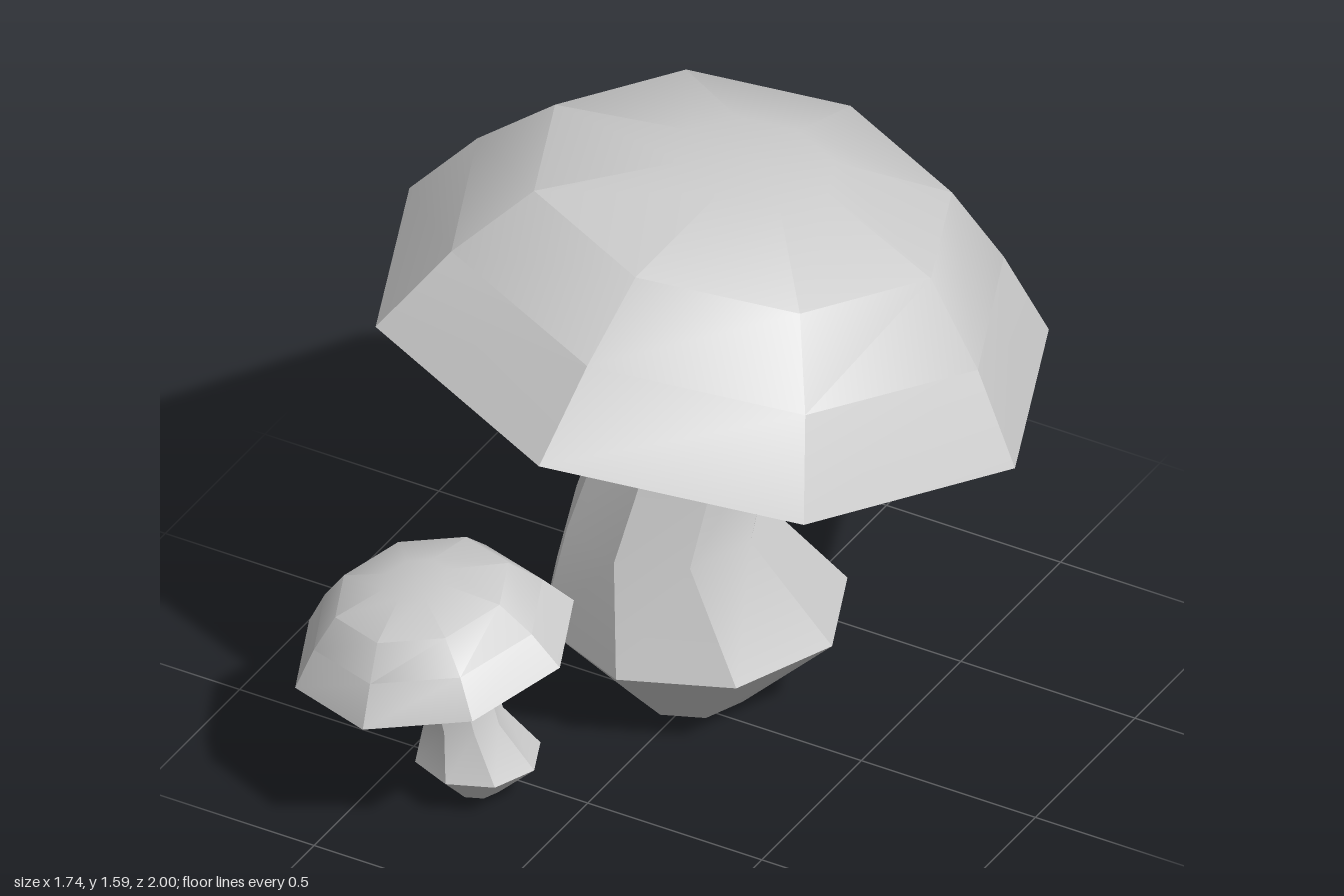
import * as THREE from 'three';
import { toCreasedNormals } from 'three/addons/utils/BufferGeometryUtils.js';

const SIDES = 8;
const TILT = [-0.144, 0.12]; // height change per unit of x and z on tilted rings

// Closed loft through octagonal rings, listed from bottom to top.
// Ring: [centre x, y, z, radius, tilt amount, x stretch]
function loft(rings) {
  const pos = [], idx = [];
  for (const [x, y, z, r, tilt = 0, sx = 1] of rings) {
    for (let i = 0; i < SIDES; i++) {
      const a = (i / SIDES) * Math.PI * 2;
      const dx = Math.sin(a) * r * sx, dz = Math.cos(a) * r;
      pos.push(x + dx, y + tilt * (TILT[0] * dx + TILT[1] * dz), z + dz);
    }
  }
  const last = (rings.length - 1) * SIDES, bottom = rings.length * SIDES, top = bottom + 1;
  pos.push(...rings[0].slice(0, 3), ...rings[rings.length - 1].slice(0, 3));
  for (let i = 0; i < SIDES; i++) {
    const j = (i + 1) % SIDES;
    for (let k = 0; k < last; k += SIDES) {
      idx.push(k + i, k + j, k + SIDES + j, k + i, k + SIDES + j, k + SIDES + i);
    }
    idx.push(bottom, j, i, top, last + i, last + j);
  }
  const geo = new THREE.BufferGeometry();
  geo.setAttribute('position', new THREE.Float32BufferAttribute(pos, 3));
  geo.setIndex(idx);
  return toCreasedNormals(geo, 0.62);
}

export function createModel() {
  const model = new THREE.Group();
  const material = new THREE.MeshStandardMaterial({ color: 0xcccccc });
  const part = (name, geo, parent) => {
    const mesh = new THREE.Mesh(geo, material);
    mesh.name = name;
    parent.add(mesh);
    return mesh;
  };

  // Tilted cap, relative to the centre of its rim
  const capGeo = loft([
    [0, -0.175, 0.01, 0.2, 1],
    [0, 0, 0, 0.87, 1],
    [0.03, 0.22, -0.025, 0.705, 1, 1.02],
    [0.06, 0.405, -0.05, 0.54, 1],
    [0.09, 0.49, -0.075, 0.2, 1],
  ]);

  // Large mushroom
  const large = new THREE.Group();
  large.name = 'largeMushroom';
  part('largeCap', capGeo, large).position.set(0, 1.065, -0.125);
  part('largeStem', loft([
    [-0.035, 0, -0.075, 0.15],
    [-0.035, 0.24, -0.098, 0.395],
    [-0.085, 0.53, -0.03, 0.25],
    [-0.01, 0.92, -0.11, 0.21, 1],
  ]), large);

  // Small mushroom: same cap, shrunk and turned around
  const small = new THREE.Group();
  small.name = 'smallMushroom';
  const smallCap = part('smallCap', capGeo, small);
  smallCap.position.set(-0.36, 0.443, 0.64);
  smallCap.rotation.y = Math.PI;
  smallCap.scale.setScalar(0.414);
  part('smallStem', loft([
    [-0.27, 0.012, 0.583, 0.062],
    [-0.27, 0.11, 0.58, 0.162],
    [-0.295, 0.235, 0.605, 0.1],
    [-0.32, 0.39, 0.63, 0.095, -1],
  ]), small);

  model.add(large, small);
  return model;
}
